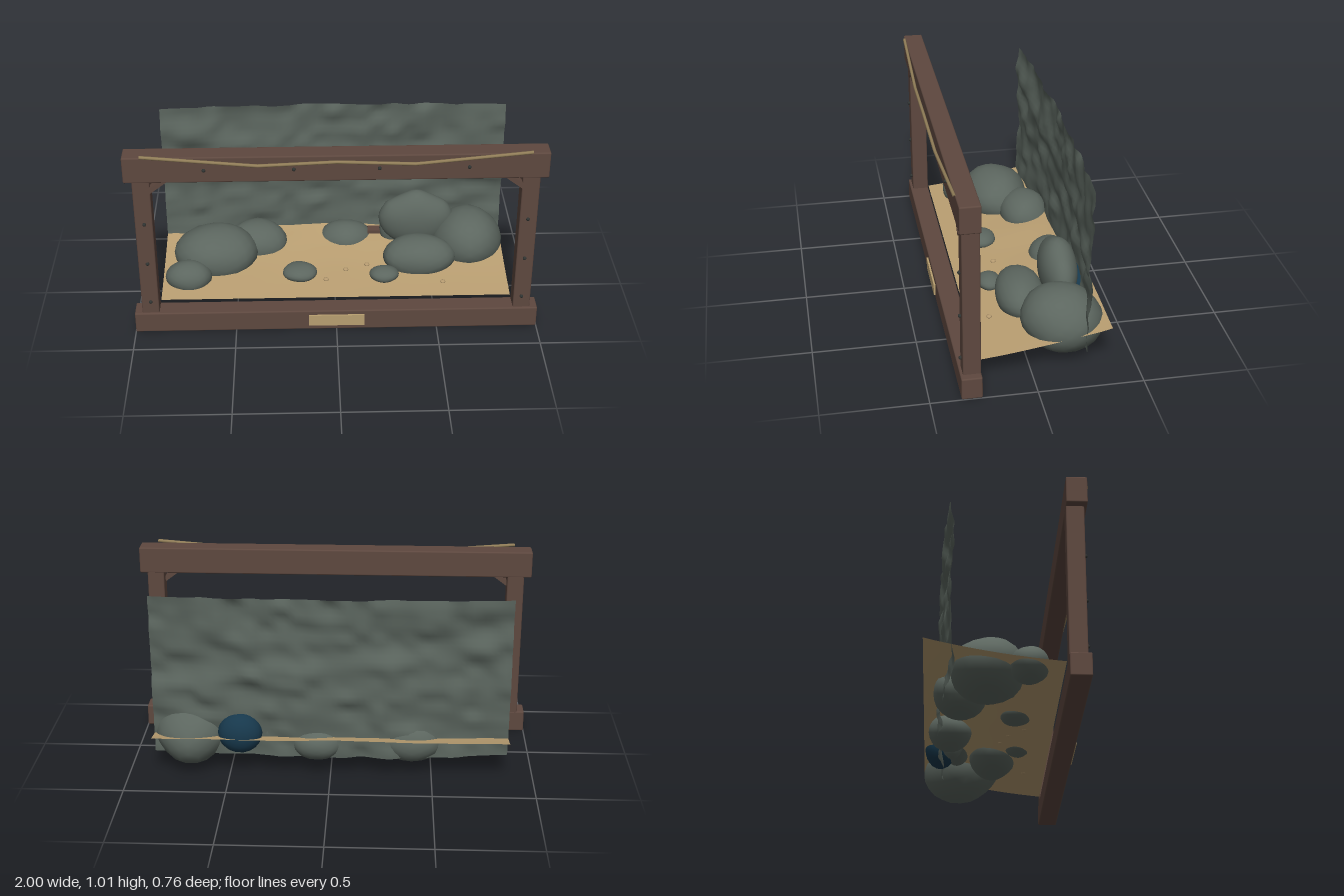
import * as THREE from 'three';
import { mergeVertices } from 'three/addons/utils/BufferGeometryUtils.js';
import { RoundedBoxGeometry } from 'three/addons/geometries/RoundedBoxGeometry.js';

const material = (name, color, side = THREE.FrontSide) => {
  const m = new THREE.MeshStandardMaterial({ color, side });
  m.name = name;
  return m;
};

// Smooth lattice noise from -1 to 1
const hash = (i, j) => {
  const s = Math.sin(i * 127.1 + j * 311.7) * 43758.5453;
  return (s - Math.floor(s)) * 2 - 1;
};
const noise = (x, y) => {
  const i = Math.floor(x), j = Math.floor(y);
  const u = THREE.MathUtils.smoothstep(x - i, 0, 1), v = THREE.MathUtils.smoothstep(y - j, 0, 1);
  const { lerp } = THREE.MathUtils;
  return lerp(lerp(hash(i, j), hash(i + 1, j), u), lerp(hash(i, j + 1), hash(i + 1, j + 1), u), v);
};

export function createModel() {
  const wood = material('dark wood', 0x5e483f);
  const stone = material('grey green stone', 0x5c665f);
  const cliff = material('cliff stone', 0x5a645d, THREE.DoubleSide);
  const sand = material('sand', 0xba9f72, THREE.DoubleSide);
  const pebbleTan = material('pebble tan', 0xb59a70);
  const brass = material('plaque tan', 0xb89f70);
  const ropeTan = material('rope', 0x94805a);
  const iron = material('iron', 0x303432);
  const blue = material('deep blue', 0x17384c);

  const model = new THREE.Group();
  model.name = 'rockDiorama';
  const add = (name, geometry, mat, x = 0, y = 0, z = 0, parent = model) => {
    const mesh = new THREE.Mesh(geometry, mat);
    mesh.name = name;
    mesh.position.set(x, y, z);
    parent.add(mesh);
    return mesh;
  };
  const board = (w, h, d) => new RoundedBoxGeometry(w, h, d, 2, 0.007);

  // Wooden front frame with posts, corner braces and studs
  const frame = new THREE.Group();
  frame.name = 'frontFrame';
  model.add(frame);
  add('bottomBeam', board(2, 0.11, 0.098), wood, 0, 0.055, 0.305, frame);
  add('topBeam', board(2, 0.134, 0.098), wood, 0, 0.925, 0.305, frame);
  const stud = new THREE.SphereGeometry(0.009, 10, 8);
  for (const s of [-1, 1]) {
    add('post', board(0.085, 0.77, 0.084), wood, s * 0.92, 0.485, 0.299, frame);
    const brace = add('cornerBrace', new THREE.BoxGeometry(0.12, 0.024, 0.04), wood, s * 0.842, 0.838, 0.325, frame);
    brace.rotation.z = -s * 0.65;
    for (const y of [0.175, 0.4, 0.625]) add('postStud', stud, iron, s * 0.917, y, 0.345, frame);
    for (const x of [0.2, 0.62]) add('beamStud', stud, iron, s * x, 0.925, 0.358, frame);
  }
  add('plaque', new THREE.BoxGeometry(0.275, 0.06, 0.009), brass, 0, 0.058, 0.359, frame);

  // Sagging rope along the top beam
  const ropePath = new THREE.CurvePath();
  const ropePoints = [[-0.915, 1, 0.359], [-0.37, 0.953, 0.37], [0, 0.97, 0.373], [0.37, 0.953, 0.37], [0.915, 1, 0.359]]
    .map(p => new THREE.Vector3(...p));
  for (let i = 0; i < 4; i++) ropePath.add(new THREE.LineCurve3(ropePoints[i], ropePoints[i + 1]));
  add('rope', new THREE.TubeGeometry(ropePath, 40, 0.008, 6), ropeTan, 0, 0, 0, frame);

  // Sloping sand floor
  const floorY = (x, z) => {
    const t = (0.255 - z) / 0.63;
    return 0.123 + 0.055 * t + 0.048 * t * t + 0.006 * t * noise(x * 5, z * 6);
  };
  const floor = new THREE.PlaneGeometry(1.75, 0.63, 32, 14).rotateX(-Math.PI / 2).translate(0, 0, -0.06);
  const fp = floor.attributes.position;
  for (let i = 0; i < fp.count; i++) fp.setY(i, floorY(fp.getX(i), fp.getZ(i)));
  floor.computeVertexNormals();
  add('sandFloor', floor, sand);

  // Lumpy bowed cliff with a slanting overhang across it
  const wall = new THREE.PlaneGeometry(1.75, 0.825, 64, 32).translate(0, 0.513, 0);
  const wp = wall.attributes.position;
  for (let i = 0; i < wp.count; i++) {
    const x = wp.getX(i), y = wp.getY(i);
    const d = y - (0.595 - 0.155 * x);
    const ledge = 0.016 * Math.exp(-(((d - 0.06) / 0.06) ** 2)) - 0.012 * Math.exp(-(((d + 0.03) / 0.05) ** 2));
    const lumps = 0.016 * noise(x * 7 + 3, y * 9) + 0.013 * noise(x * 13, y * 17 + 5);
    wp.setZ(i, -0.262 - 0.042 * Math.cos(1.85 * (x - 0.08)) + ledge + lumps);
  }
  wall.computeVertexNormals();
  add('cliffWall', wall, cliff);

  // Softly uneven boulders: centre then radii; a peaked one rises to a ridge
  const boulder = (name, [x, y, z, rx, ry, rz], mat = stone, detail = 3, bump = 0.03, peaked = false) => {
    let g = new THREE.IcosahedronGeometry(1, detail);
    g.deleteAttribute('uv');
    g.deleteAttribute('normal');
    g = mergeVertices(g, 1e-4);
    const p = g.attributes.position, v = new THREE.Vector3();
    for (let i = 0; i < p.count; i++) {
      v.fromBufferAttribute(p, i);
      const wide = Math.sqrt(Math.max(0.36, 1 - v.x * v.x));
      if (peaked && v.y > 0) v.y *= (1 - 0.6 * Math.hypot(v.x, 0.12)) / wide;
      v.multiplyScalar(1 + bump * Math.sin(4 * v.x + x * 20) * Math.cos(3 * v.y + 4 * v.z + z * 15));
      p.setXYZ(i, v.x * rx, v.y * ry, v.z * rz);
    }
    g.computeVertexNormals();
    return add(name, g, mat, x, y, z);
  };
  [
    [-0.745, 0.16, 0.1, 0.118, 0.08, 0.09],
    [-0.61, 0.19, -0.08, 0.217, 0.14, 0.17],
    [-0.4, 0.17, -0.2, 0.16, 0.118, 0.13],
    [-0.18, 0.155, 0.07, 0.088, 0.042, 0.075],
    [0.065, 0.162, -0.245, 0.135, 0.09, 0.105],
    [0.25, 0.155, 0.1, 0.075, 0.038, 0.06],
    [0.435, 0.185, -0.02, 0.19, 0.112, 0.122],
  ].forEach(r => boulder('boulder', r));
  const large = boulder('largeBoulder', [0.695, 0.195, -0.175, 0.183, 0.165, 0.2]);
  large.rotation.x = -0.3;

  // Cave: peaked roof stone, side pillar and dark hollow behind
  boulder('caveRoof', [0.43, 0.31, -0.205, 0.195, 0.168, 0.092], stone, 5, 0, true);
  boulder('cavePillar', [0.31, 0.22, -0.23, 0.07, 0.1, 0.06], stone, 2);
  boulder('caveHollow', [0.445, 0.225, -0.29, 0.11, 0.105, 0.08], blue, 3, 0);

  // Driftwood scrap and loose pebbles
  add('driftwood', new THREE.BoxGeometry(0.07, 0.018, 0.05), wood, 0.215, floorY(0.215, -0.24) + 0.012, -0.24);
  for (const [x, z] of [[-0.047, 0.12], [0.055, 0.045], [0.165, 0.01], [0.545, 0.15]]) {
    add('pebble', new THREE.SphereGeometry(0.014, 10, 8).scale(1, 0.6, 1), pebbleTan, x, floorY(x, z) + 0.003, z);
  }
  return model;
}
